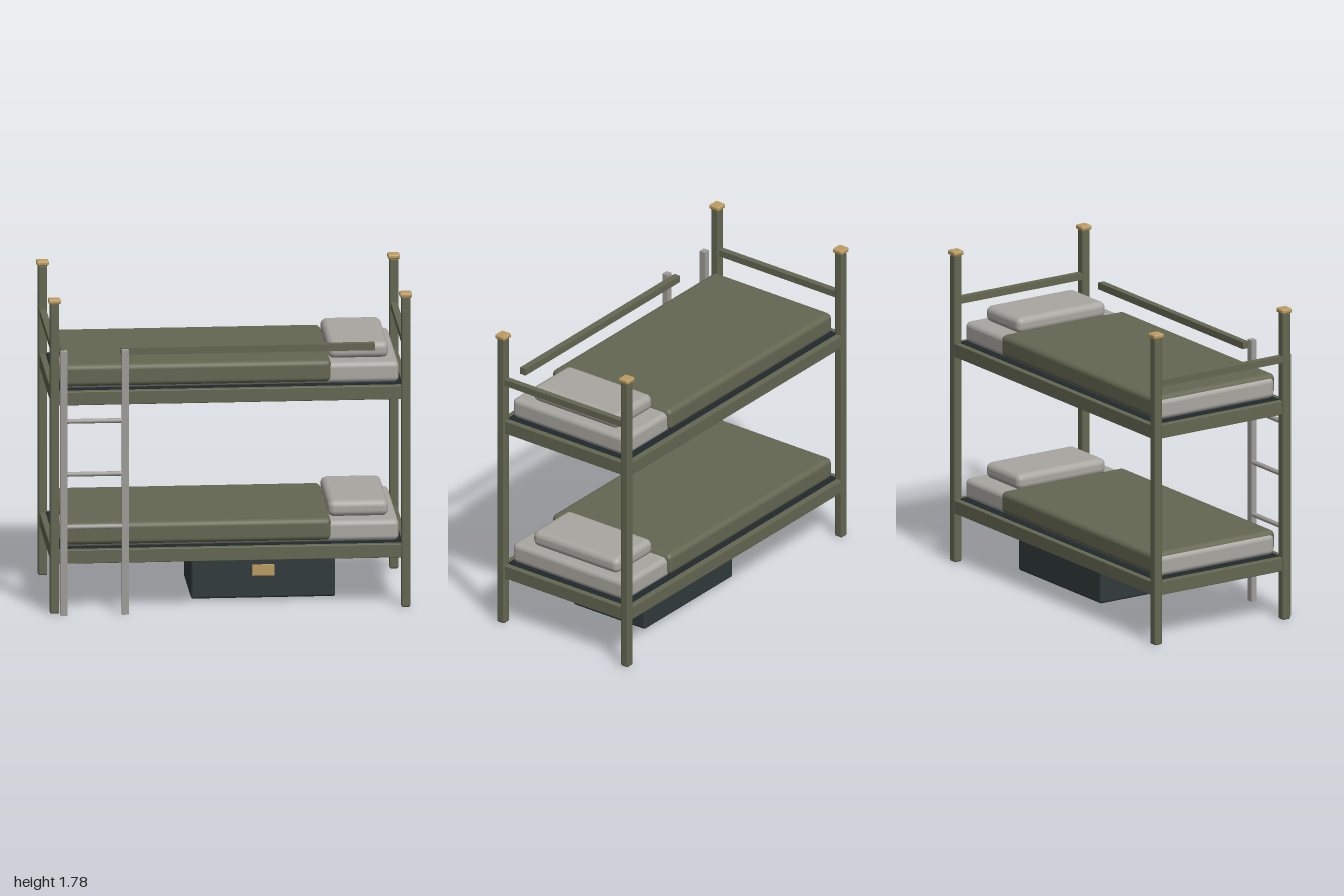
import * as THREE from 'three';
import { RoundedBoxGeometry } from 'three/addons/geometries/RoundedBoxGeometry.js';

const mat = (name, color) => {
  const m = new THREE.MeshStandardMaterial({ color });
  m.name = name;
  return m;
};

export function createModel() {
  const olive = mat('olive', 0x646751);
  const linen = mat('linen grey', 0xa9a7a1);
  const steel = mat('ladder grey', 0x9f9d98);
  const brass = mat('brass', 0xbb9c63);
  const chestDark = mat('dark slate', 0x313a3c);
  const deckDark = mat('deck black', 0x20292c);

  const model = new THREE.Group();
  model.name = 'bunkBed';

  // Box given by its min/max limits on each axis; r > 0 rounds the edges
  const box = (parent, name, material, [x0, x1], [y0, y1], [z0, z1], r = 0) => {
    const size = [x1 - x0, y1 - y0, z1 - z0];
    const geo = r ? new RoundedBoxGeometry(...size, 3, r) : new THREE.BoxGeometry(...size);
    const mesh = new THREE.Mesh(geo, material);
    mesh.name = name;
    mesh.position.set((x0 + x1) / 2, (y0 + y1) / 2, (z0 + z1) / 2);
    parent.add(mesh);
    return mesh;
  };
  const around = (c, half) => [c - half, c + half];

  const zFront = 0.41, zBack = -0.443;

  // Corner posts with brass caps
  for (const x of [-0.966, 0.966]) {
    for (const z of [zFront, zBack]) {
      box(model, 'post', olive, around(x, 0.025), [0, 1.757], around(z, 0.025), 0.01);
      box(model, 'postCap', brass, around(x, 0.034), [1.753, 1.78], around(z, 0.033), 0.01);
    }
    // Upper end rail
    box(model, 'endRail', olive, around(x, 0.018), [1.472, 1.51], [zBack, zFront]);
  }

  // Two bunks: frame, deck, mattress, blanket and pillow
  for (const [name, y] of [['lowerBunk', 0.28], ['upperBunk', 1.176]]) {
    const bunk = new THREE.Group();
    bunk.name = name;
    bunk.position.y = y;
    model.add(bunk);
    for (const z of [zFront - 0.003, zBack - 0.005])
      box(bunk, 'sideRail', olive, [-0.955, 0.955], [0, 0.077], around(z, 0.018), 0.004);
    for (const x of [-0.965, 0.965])
      box(bunk, 'crossRail', olive, around(x, 0.018), [0, 0.077], [zBack, zFront], 0.004);
    box(bunk, 'deck', deckDark, [-0.95, 0.95], [0.055, 0.079], [-0.432, 0.392]);
    box(bunk, 'mattress', linen, [-0.928, 0.932], [0.082, 0.2], [-0.41, 0.378], 0.03);
    box(bunk, 'blanket', olive, [-0.915, 0.56], [0.093, 0.218], [-0.428, 0.391], 0.03);
    box(bunk, 'pillow', linen, [0.55, 0.882], [0.195, 0.287], [-0.311, 0.278], 0.036);
  }

  // Guard rail on the front of the upper bunk
  box(model, 'guardRail', olive, [-0.6, 0.795], [1.456, 1.495], [0.387, 0.425]);

  // Ladder
  const ladder = new THREE.Group();
  ladder.name = 'ladder';
  model.add(ladder);
  for (const x of [-0.918, -0.58])
    box(ladder, 'ladderStile', steel, around(x, 0.019), [0, 1.495], [0.445, 0.48]);
  for (const y of [0.497, 0.796, 1.096]) {
    const rung = new THREE.Mesh(new THREE.CylinderGeometry(0.0135, 0.0135, 0.33, 12), steel);
    rung.name = 'ladderRung';
    rung.rotation.z = Math.PI / 2;
    rung.position.set(-0.75, y, 0.461);
    ladder.add(rung);
  }

  // Storage chest under the lower bunk
  box(model, 'chest', chestDark, [-0.2, 0.595], [0.012, 0.25], [-0.284, 0.212], 0.014);
  box(model, 'chestLatch', brass, [0.137, 0.258], [0.143, 0.202], [0.205, 0.232]);

  return model;
}
